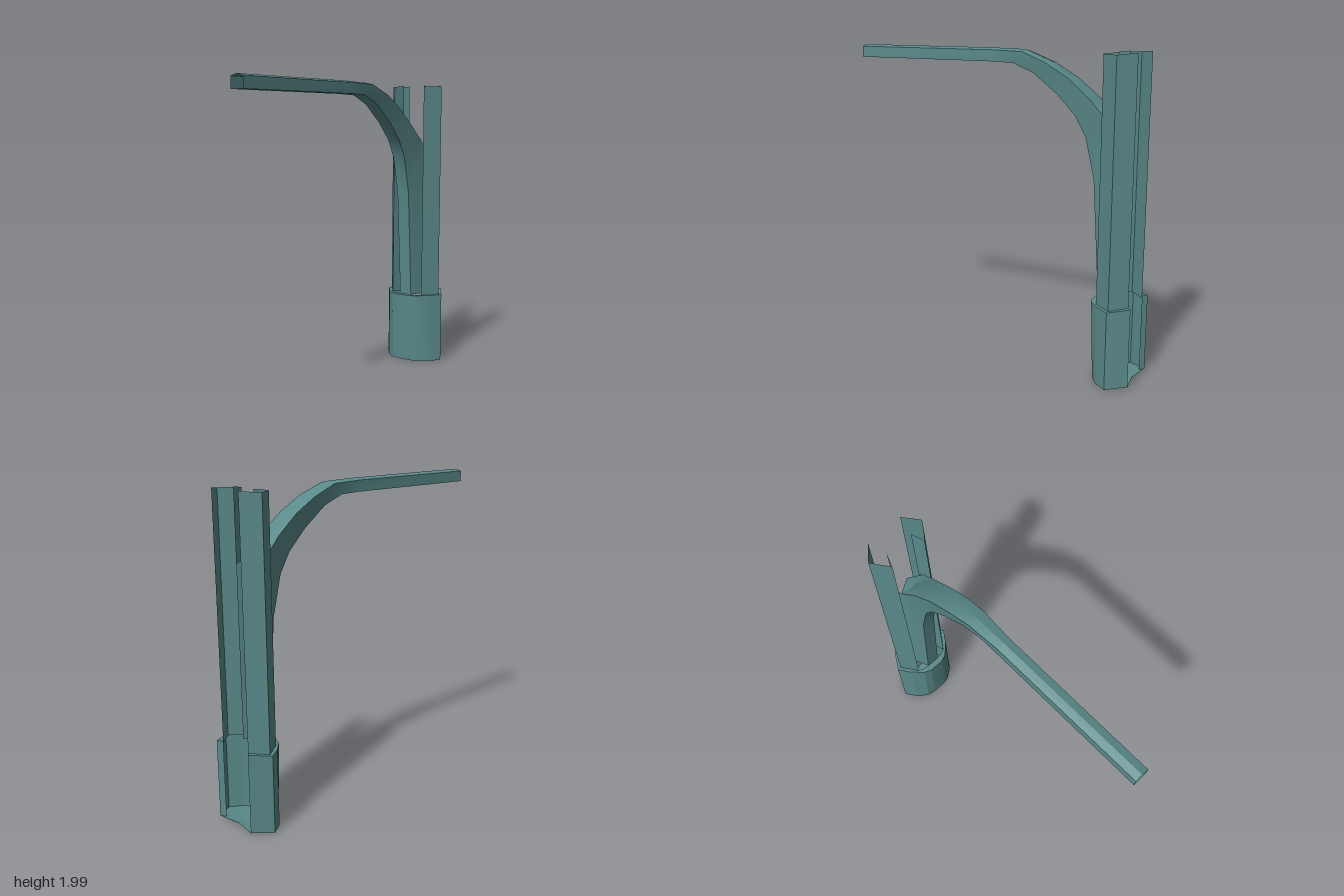
import * as THREE from 'three';
import { toCreasedNormals } from 'three/addons/utils/BufferGeometryUtils.js';

const material = new THREE.MeshStandardMaterial({ color: 0x5a8a8a, side: THREE.DoubleSide });

// Skins a list of equally long rows of [x, y, z] points.
function skin(name, rows, crease = 0.3) {
  const n = rows[0].length, index = [];
  for (let i = 0; i < rows.length - 1; i++) {
    for (let j = 0; j < n - 1; j++) {
      const a = i * n + j, b = a + 1, c = a + n, d = c + 1;
      index.push(a, b, c, b, d, c);
    }
  }
  const geometry = new THREE.BufferGeometry();
  geometry.setAttribute('position', new THREE.Float32BufferAttribute(rows.flat(2), 3));
  geometry.setIndex(index);
  const mesh = new THREE.Mesh(toCreasedNormals(geometry, crease), material);
  mesh.name = name;
  return mesh;
}

// Turns a half outline of [x, z] into a full one, from the -z side round to +z.
const mirrored = half => [...half.map(([x, z]) => [x, -z]), ...half.slice().reverse()];

export function createModel() {
  const model = new THREE.Group();
  model.name = 'halfColumnWithBracket';

  // Column: two folded side walls, open towards +x
  const wall = [[0.85, 0.09, 1.99], [0.77, 0.12, 1.98], [0.88, 0.2, 1.98], [0.975, 0.12, 1.99]];
  for (const side of [1, -1]) {
    const pts = side > 0 ? wall : wall.slice().reverse();
    model.add(skin(side > 0 ? 'frontColumnWall' : 'backColumnWall', [
      pts.map(([x, z]) => [x, 0.49, z * side]),
      pts.map(([x, z, top]) => [x, top, z * side]),
    ]));
  }

  // Base: wider shell, ledge up to the column, floor
  const baseTop = mirrored([[0.975, 0.12], [1, 0.15], [0.88, 0.225], [0.8, 0.17], [0.73, 0.1], [0.71, 0.05]]);
  const baseBottom = mirrored([[0.975, 0.12], [1, 0.15], [0.88, 0.225], [0.8, 0.17], [0.75, 0.1], [0.74, 0.05]]);
  const ledgeInner = mirrored([[0.975, 0.12], [0.975, 0.12], [0.88, 0.2], [0.77, 0.12], [0.76, 0.09], [0.75, 0.045]]);
  const topY = x => 0.49 + Math.max(0, x - 0.88) * 0.15;
  const bottomY = x => Math.max(0, x - 0.88) * 0.12;
  const bottomRow = baseBottom.map(([x, z]) => [x, bottomY(x), z]);
  const topRow = baseTop.map(([x, z]) => [x, topY(x), z]);
  model.add(skin('baseShell', [bottomRow, topRow]));
  model.add(skin('baseLedge', [topRow, ledgeInner.map(([x, z]) => [x, topY(x), z])]));
  const middleRow = baseBottom.map(([x]) => [Math.min(x, 0.975), bottomY(x), 0]);
  model.add(skin('baseFloor', [middleRow, bottomRow]));

  // Bracket stations: lower x, y; upper x, y; lower and upper half width
  const stations = [
    [-1, 1.91, -1, 1.98, 0.045, 0.045],
    [0, 1.91, 0, 1.98, 0.045, 0.045],
    [0.15, 1.905, 0.22, 1.975, 0.045, 0.059],
    [0.29, 1.85, 0.39, 1.91, 0.045, 0.068],
    [0.45, 1.73, 0.53, 1.83, 0.045, 0.07],
    [0.57, 1.61, 0.67, 1.72, 0.045, 0.077],
    [0.64, 1.49, 0.77, 1.62, 0.045, 0.09],
    [0.7, 1.24, 0.85, 1.55, 0.045, 0.09],
    [0.725, 0.87, 0.85, 0.95, 0.045, 0.09],
    [0.75, 0.49, 0.85, 0.49, 0.045, 0.09],
  ];
  model.add(skin('bracketSides', stations.map(([bx, by, tx, ty, bw, tw]) =>
    [[tx, ty, tw], [bx, by, bw], [bx, by, -bw], [tx, ty, -tw]]), 0.45));

  // Shallow ridged top of the bracket, running into the column
  const roof = stations.slice(0, 7).map(([, , x, y, , w]) =>
    [[x, y, -w], [x, y + 0.012, 0], [x, y, w]]);
  roof.push([[0.79, 1.612, -0.09], [0.85, 1.6, 0], [0.79, 1.612, 0.09]]);
  model.add(skin('bracketTop', roof, 0.4));

  return model;
}
